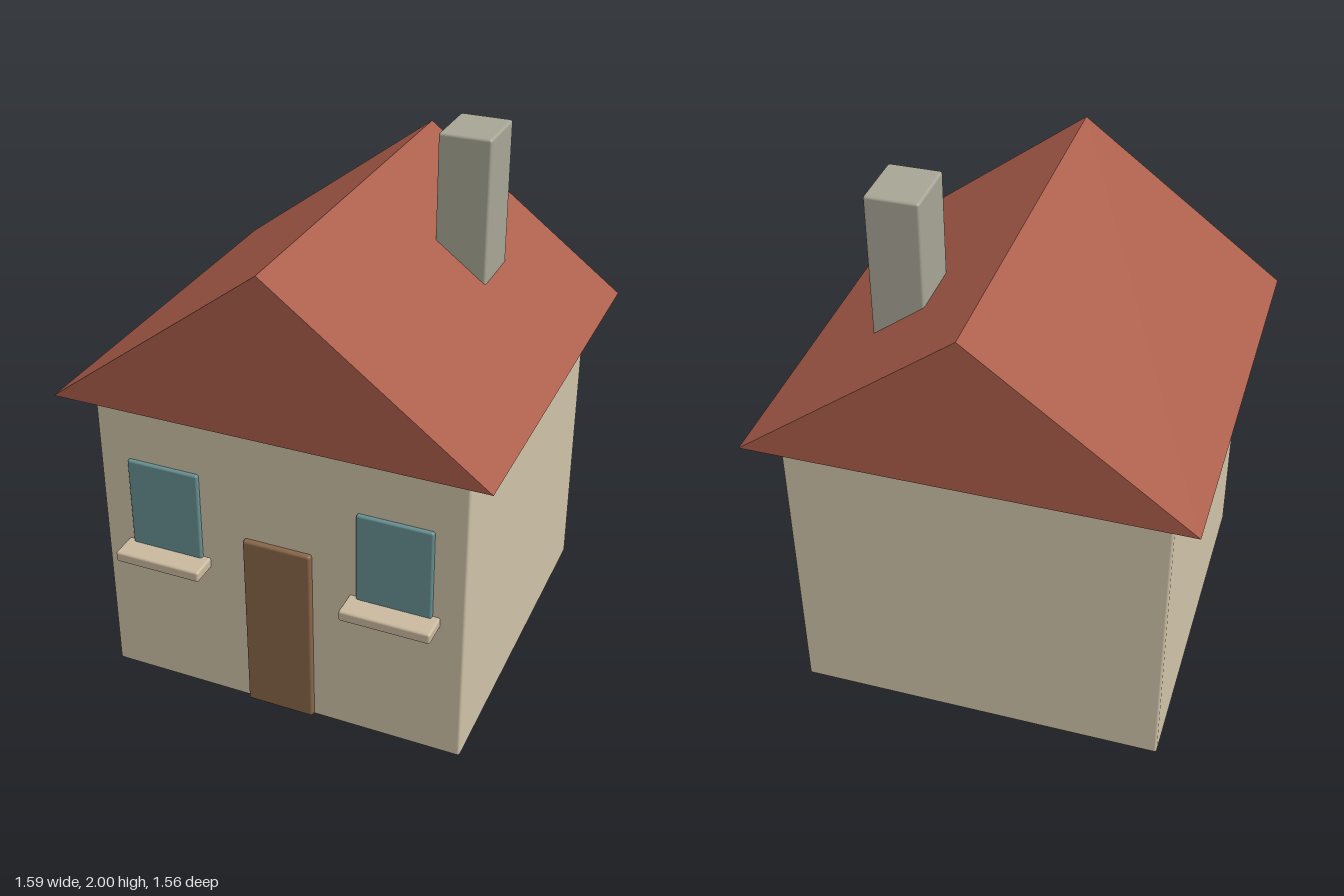
import * as THREE from 'three';
import { RoundedBoxGeometry } from 'three/addons/geometries/RoundedBoxGeometry.js';

const material = (name, color) => {
  const m = new THREE.MeshStandardMaterial({ color });
  m.name = name;
  return m;
};

export function createModel() {
  const house = new THREE.Group();
  house.name = 'house';

  const plaster = material('plaster', 0xcfc2a8);
  const tile = material('roofTile', 0xab5d4a);
  const wood = material('doorWood', 0x886649);
  const glass = material('windowGlass', 0x668f92);
  const stone = material('chimneyStone', 0xa7a595);
  const trim = material('sillTrim', 0xcab99f);

  // Softly bevelled block given by its extents on each axis
  const block = (name, mat, [x0, x1], [y0, y1], [z0, z1], radius) => {
    const geometry = new RoundedBoxGeometry(x1 - x0, y1 - y0, z1 - z0, 2, radius);
    const mesh = new THREE.Mesh(geometry, mat);
    mesh.position.set((x0 + x1) / 2, (y0 + y1) / 2, (z0 + z1) / 2);
    mesh.name = name;
    house.add(mesh);
  };

  block('walls', plaster, [-0.695, 0.695], [0, 1.2], [-0.68, 0.68], 0.01);
  block('door', wood, [-0.13, 0.13], [0.004, 0.722], [0.66, 0.70], 0.01);
  block('chimney', stone, [0.26, 0.455], [1.3, 2], [-0.36, -0.125], 0.01);

  // Mirrored windows, each with a projecting sill
  for (const [side, s] of [['left', 1], ['right', -1]]) {
    const span = (a, b) => (s > 0 ? [a, b] : [-b, -a]);
    block(side + 'Window', glass, span(0.3, 0.578), [0.57, 0.942], [0.66, 0.695], 0.008);
    block(side + 'Sill', trim, span(0.27, 0.605), [0.552, 0.594], [0.66, 0.78], 0.009);
  }

  // Gable roof: a triangular prism overhanging every wall
  const gable = new THREE.Shape([
    new THREE.Vector2(-0.797, 1.2),
    new THREE.Vector2(0.797, 1.2),
    new THREE.Vector2(0, 1.8),
  ]);
  const roof = new THREE.Mesh(
    new THREE.ExtrudeGeometry(gable, { depth: 1.558, bevelEnabled: false }), tile);
  roof.position.z = -0.781;
  roof.name = 'roof';
  house.add(roof);

  return house;
}
